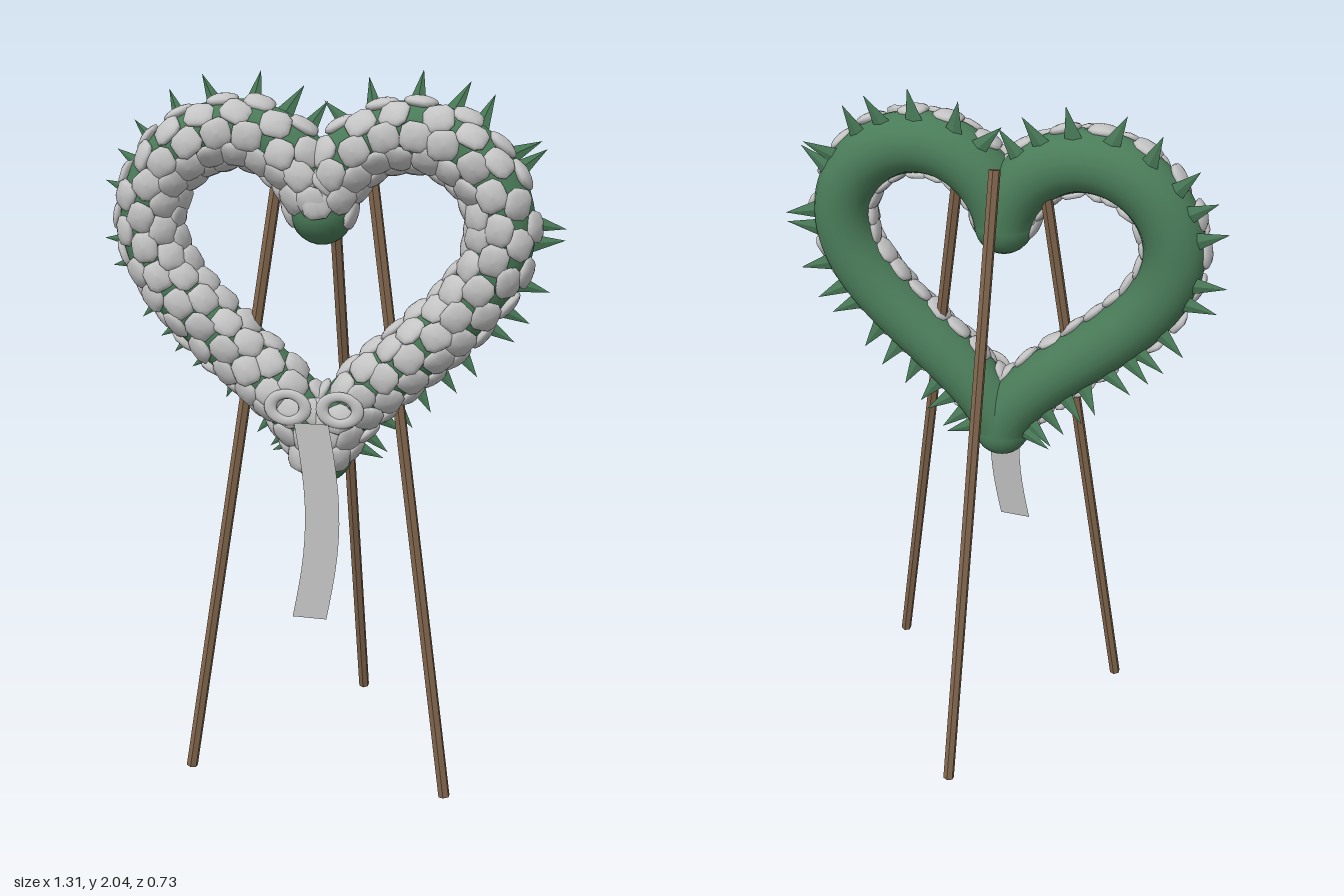
import * as THREE from 'three';
import { mergeGeometries } from 'three/addons/utils/BufferGeometryUtils.js';

const TUBE = 0.087, ZC = 0.205, S = 0.0308, Y0 = 1.512;
const Z = new THREE.Vector3(0, 0, 1);

// Small seeded generator, returns -1..1
let seed = 7;
const jitter = () => {
  seed = (seed * 16807) % 2147483647;
  return (seed / 2147483647) * 2 - 1;
};

// One half of a heart outline, from the cleft over the lobe to the tip
class HalfHeart extends THREE.Curve {
  constructor(side) { super(); this.side = side; this.arcLengthDivisions = 400; }
  getPoint(u, target = new THREE.Vector3()) {
    const t = u * Math.PI;
    return target.set(
      this.side * S * 16 * Math.sin(t) ** 3,
      Y0 + S * (13 * Math.cos(t) - 5 * Math.cos(2 * t) - 2 * Math.cos(3 * t) - Math.cos(4 * t)),
      ZC);
  }
}

// Point, tangent and outward normal at an arc-length position
function frame(curve, u) {
  const p = curve.getPointAt(u), t = curve.getTangentAt(u);
  const n = new THREE.Vector3(-t.y, t.x, 0).multiplyScalar(curve.side);
  return { p, t, n };
}

// Soft square cushion used for each blossom
function blossomGeometry() {
  const g = new THREE.SphereGeometry(1, 12, 8).rotateX(Math.PI / 2);
  const pos = g.attributes.position;
  for (let i = 0; i < pos.count; i++) {
    const x = pos.getX(i), y = pos.getY(i), l4 = (x ** 4 + y ** 4) ** 0.25;
    const k = l4 > 1e-5 ? Math.hypot(x, y) / l4 : 1;
    pos.setXY(i, x * k, y * k);
  }
  g.scale(0.042, 0.039, 0.017);
  g.computeVertexNormals();
  return g;
}

function blossoms(curve) {
  const base = blossomGeometry(), parts = [], perRow = 18;
  [-80, -40, 0, 40, 80].forEach((deg, row) => {
    const a = THREE.MathUtils.degToRad(deg);
    for (let i = 0; i < perRow; i++) {
      const u = (i + (row % 2 ? 0.75 : 0.3) + 0.12 * jitter()) / perRow;
      const { p, t, n } = frame(curve, THREE.MathUtils.clamp(u, 0.01, 0.99));
      const d = n.multiplyScalar(Math.sin(a)).addScaledVector(Z, Math.cos(a));
      const m = new THREE.Matrix4().makeBasis(t, d.clone().cross(t), d);
      m.setPosition(p.addScaledVector(d, TUBE));
      const turn = new THREE.Euler(0.2 * jitter(), 0.2 * jitter(), 0.45 * jitter());
      m.multiply(new THREE.Matrix4().makeRotationFromEuler(turn));
      parts.push(base.clone().applyMatrix4(m));
    }
  });
  return mergeGeometries(parts);
}

function leaves(curve) {
  const base = new THREE.ConeGeometry(0.027, 0.1, 4).translate(0, 0.05, 0).scale(1, 1, 0.3);
  const parts = [], count = 19;
  for (let i = 0; i < count; i++) {
    const { p, t, n } = frame(curve, 0.1 + 0.89 * (i + 0.3 * jitter() + 0.5) / count);
    const dir = n.clone().addScaledVector(t, 0.25 * jitter());
    dir.z = -0.1 + 0.12 * jitter();
    dir.normalize();
    const side = dir.clone().cross(Z).normalize();
    const m = new THREE.Matrix4().makeBasis(side, dir, side.clone().cross(dir));
    m.setPosition(p.addScaledVector(n, 0.066).addScaledVector(Z, -0.038));
    parts.push(base.clone().applyMatrix4(m));
  }
  return mergeGeometries(parts);
}

// Straight six-sided pole between two points
function pole(a, b, material) {
  const from = new THREE.Vector3(...a), to = new THREE.Vector3(...b);
  const dir = to.clone().sub(from);
  const mesh = new THREE.Mesh(new THREE.CylinderGeometry(0.017, 0.017, dir.length(), 6), material);
  mesh.position.copy(from).add(to).multiplyScalar(0.5);
  mesh.quaternion.setFromUnitVectors(new THREE.Vector3(0, 1, 0), dir.normalize());
  return mesh;
}

export function createModel() {
  const group = new THREE.Group();
  const mat = (name, color, extra = {}) => {
    const m = new THREE.MeshStandardMaterial({ color, ...extra });
    m.name = name;
    return m;
  };
  const green = mat('moss green', 0x4a7c59);
  const leafGreen = mat('leaf green', 0x4a7c59, { flatShading: true });
  const petal = mat('petal grey', 0xc4c4c4);
  const ribbonMat = mat('ribbon grey', 0xc0c0c0, { side: THREE.DoubleSide });
  const wood = mat('wood brown', 0x80654c, { flatShading: true });
  const add = (name, mesh) => { mesh.name = name; group.add(mesh); return mesh; };

  // Wreath halves with blossoms and leaves
  for (const side of [1, -1]) {
    const label = side > 0 ? 'left' : 'right';
    const curve = new HalfHeart(side);
    add(label + 'WreathTube', new THREE.Mesh(new THREE.TubeGeometry(curve, 90, TUBE, 20), green));
    add(label + 'Blossoms', new THREE.Mesh(blossoms(curve), petal));
    add(label + 'Leaves', new THREE.Mesh(leaves(curve), leafGreen));
  }

  // Rounded joints at the cleft and the tip
  [['cleftJoint', 5], ['tipJoint', -17]].forEach(([name, k]) => {
    add(name, new THREE.Mesh(new THREE.SphereGeometry(TUBE, 20, 14), green))
      .position.set(0, Y0 + S * k, ZC);
  });

  // Easel
  for (const side of [1, -1]) {
    add(side > 0 ? 'leftLeg' : 'rightLeg',
      pole([side * 0.385, 0.003, 0.308], [side * 0.12, 1.85, 0.168], wood));
  }
  add('backLeg', pole([0, 0.004, -0.345], [0, 1.86, 0.112], wood));

  // Bow loops
  for (const side of [1, -1]) {
    const loop = add(side > 0 ? 'leftBowLoop' : 'rightBowLoop',
      new THREE.Mesh(new THREE.TorusGeometry(0.05, 0.018, 10, 28), petal));
    loop.scale.set(1, 0.77, 0.5);
    loop.position.set(side * 0.074, 1.14, 0.308);
  }

  // Hanging ribbon, swaying sideways
  const ribbon = new THREE.PlaneGeometry(0.098, 1, 1, 12);
  const pos = ribbon.attributes.position;
  for (let i = 0; i < pos.count; i++) {
    const v = 0.5 - pos.getY(i);
    pos.setXYZ(i, pos.getX(i) + 0.034 * Math.sin(Math.PI * v), 1.105 - 0.56 * v, 0.335 + 0.03 * v);
  }
  ribbon.computeVertexNormals();
  add('ribbonTail', new THREE.Mesh(ribbon, ribbonMat));

  return group;
}
